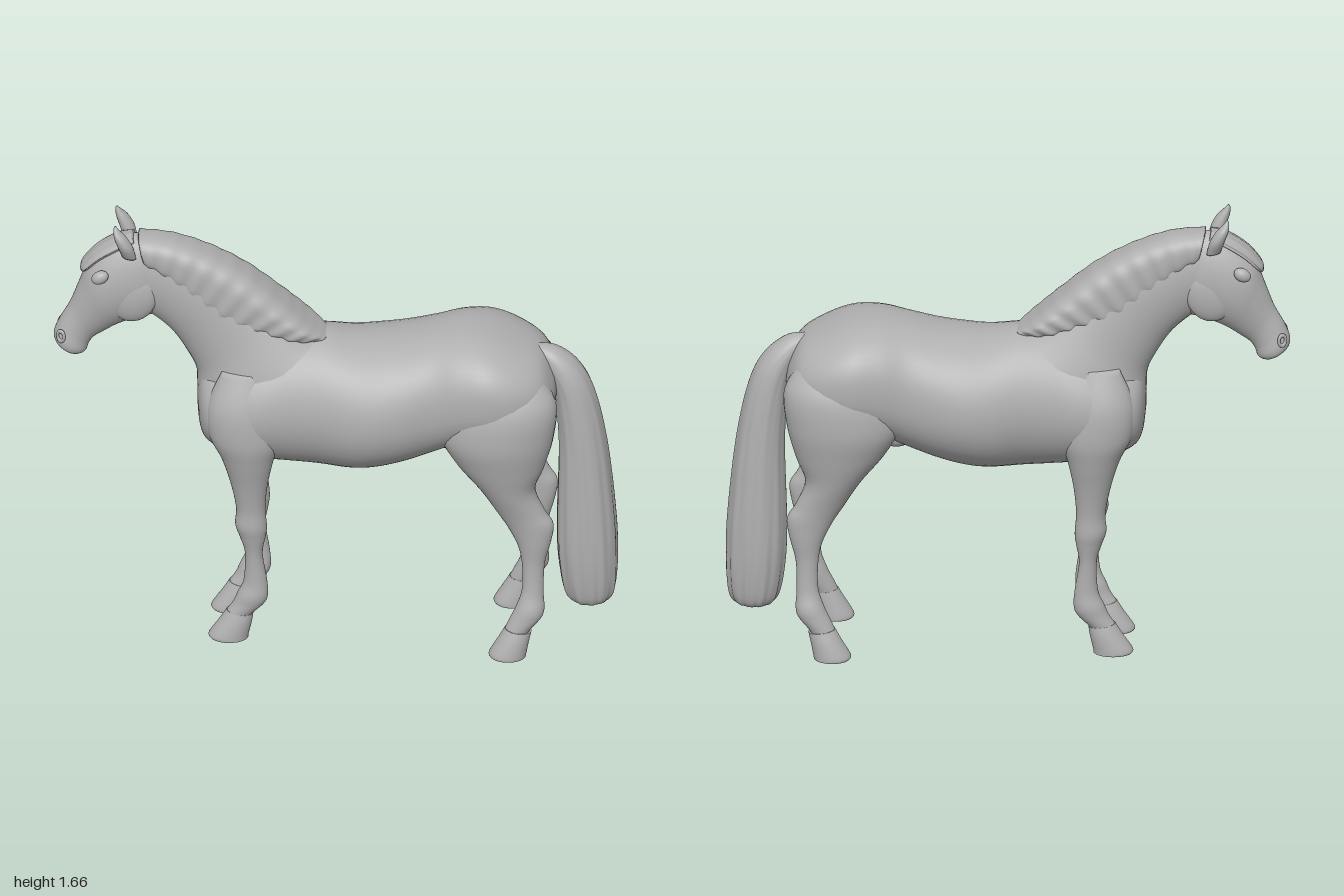
import * as THREE from 'three';

const coat = new THREE.MeshStandardMaterial({ color: 0xb0b0b0 });
coat.name = 'grey coat';

// Uniform Catmull-Rom blend of whole section rows
function sampleRows(rows, u) {
  const last = rows.length - 1;
  const i = Math.min(Math.floor(u * last), last - 1);
  const t = u * last - i;
  const at = (k) => rows[Math.max(0, Math.min(last, k))];
  const [a, b, c, d] = [at(i - 1), at(i), at(i + 1), at(i + 2)];
  return b.map((v, k) => v + 0.5 * t * (c[k] - a[k]
    + t * (2 * a[k] - 5 * v + 4 * c[k] - d[k] + t * (3 * (v - c[k]) + d[k] - a[k]))));
}

// Skin through rows of [x1, y1, x2, y2, halfWidth, z = 0, squareness = 2]:
// each section spans its two profile points and bulges sideways by halfWidth.
function loft(name, rows, { steps = 6, side = 1, sharpEnds = false, ripple = null, sides = 36 } = {}) {
  const full = rows.map(([a, b, c, d, w, z = 0, n = 2]) => [a, b, c, d, w, z * side, n]);
  const count = (rows.length - 1) * steps;
  const pos = [], index = [];
  for (let i = 0; i <= count; i++) {
    const u = i / count;
    const [x1, y1, x2, y2, w, z, n] = sampleRows(full, u);
    for (let j = 0; j < sides; j++) {
      const t = (j / sides) * Math.PI * 2;
      const bend = (v) => Math.sign(v) * Math.pow(Math.abs(v), 2 / n);
      const k = ripple ? 1 + ripple(u, t) : 1;
      const f = bend(Math.cos(t)) * k * 0.5;
      pos.push((x1 + x2) / 2 + f * (x1 - x2), (y1 + y2) / 2 + f * (y1 - y2), z + bend(Math.sin(t)) * w * k);
    }
  }
  for (let i = 0; i < count; i++) {
    for (let j = 0; j < sides; j++) {
      const a = i * sides + j, b = i * sides + (j + 1) % sides;
      index.push(a, b, a + sides, b, b + sides, a + sides);
    }
  }
  // End caps
  for (const end of [0, count]) {
    let start = end * sides;
    if (sharpEnds) {
      const ring = pos.slice(start * 3, (start + sides) * 3);
      start = pos.length / 3;
      pos.push(...ring);
    }
    const centre = [0, 0, 0];
    for (let j = 0; j < sides * 3; j++) centre[j % 3] += pos[start * 3 + j] / sides;
    const c = pos.length / 3;
    pos.push(...centre);
    for (let j = 0; j < sides; j++) {
      const a = start + j, b = start + (j + 1) % sides;
      if (end === 0) index.push(c, b, a); else index.push(c, a, b);
    }
  }
  // Turn the skin outward if its enclosed volume is negative
  const p = (i) => new THREE.Vector3(pos[i * 3], pos[i * 3 + 1], pos[i * 3 + 2]);
  let volume = 0;
  for (let i = 0; i < index.length; i += 3) volume += p(index[i]).dot(p(index[i + 1]).cross(p(index[i + 2])));
  if (volume < 0) index.reverse();
  const geometry = new THREE.BufferGeometry();
  geometry.setAttribute('position', new THREE.Float32BufferAttribute(pos, 3));
  geometry.setIndex(index);
  geometry.computeVertexNormals();
  const mesh = new THREE.Mesh(geometry, coat);
  mesh.name = name;
  return mesh;
}

function ball(name, x, y, z, sx, sy, sz, tilt = 0) {
  const mesh = new THREE.Mesh(new THREE.SphereGeometry(1, 24, 16), coat);
  mesh.name = name;
  mesh.position.set(x, y, z);
  mesh.scale.set(sx, sy, sz);
  mesh.rotation.z = tilt;
  return mesh;
}

export function createModel() {
  const horse = new THREE.Group();
  horse.name = 'horse';

  // Barrel, chest and rump
  horse.add(loft('torso', [
    [-0.49, 0.97, -0.49, 0.91, 0.03], [-0.475, 1.04, -0.478, 0.82, 0.11],
    [-0.44, 1.08, -0.45, 0.77, 0.16], [-0.38, 1.11, -0.38, 0.735, 0.195],
    [-0.28, 1.16, -0.28, 0.71, 0.213], [-0.17, 1.2, -0.17, 0.698, 0.213],
    [-0.06, 1.212, -0.06, 0.692, 0.226], [0.06, 1.195, 0.06, 0.69, 0.255, 0, 2.1],
    [0.15, 1.2, 0.15, 0.7, 0.265, 0, 2.1], [0.25, 1.212, 0.25, 0.73, 0.257, 0, 2.2],
    [0.35, 1.235, 0.35, 0.77, 0.243, 0, 2.3], [0.45, 1.25, 0.45, 0.82, 0.26, 0, 2.4],
    [0.55, 1.24, 0.55, 0.85, 0.272, 0, 2.5], [0.65, 1.205, 0.65, 0.87, 0.25, 0, 2.4],
    [0.73, 1.16, 0.73, 0.89, 0.2, 0, 2.2], [0.77, 1.09, 0.77, 0.94, 0.13], [0.783, 1.03, 0.783, 0.99, 0.04],
  ], { sides: 48 }));

  // Neck from withers to poll
  horse.add(loft('neck', [
    [0.03, 1.18, -0.42, 0.8, 0.19], [-0.06, 1.215, -0.485, 0.95, 0.165],
    [-0.18, 1.32, -0.495, 1.05, 0.13], [-0.31, 1.43, -0.53, 1.125, 0.108],
    [-0.445, 1.515, -0.575, 1.195, 0.096], [-0.58, 1.565, -0.62, 1.24, 0.084],
    [-0.7, 1.58, -0.655, 1.268, 0.078],
  ]));

  // Head from poll to lips
  horse.add(loft('head', [
    [-0.66, 1.58, -0.6, 1.34, 0.055], [-0.735, 1.58, -0.63, 1.275, 0.085],
    [-0.82, 1.535, -0.69, 1.255, 0.093], [-0.875, 1.475, -0.765, 1.225, 0.088],
    [-0.908, 1.39, -0.82, 1.19, 0.07], [-0.942, 1.3, -0.855, 1.165, 0.056],
    [-0.977, 1.235, -0.873, 1.14, 0.055], [-0.998, 1.18, -0.885, 1.108, 0.06],
    [-0.992, 1.145, -0.91, 1.098, 0.05], [-0.965, 1.125, -0.935, 1.105, 0.02],
  ]));

  // Mane with hanging locks, and forelock
  horse.add(loft('mane', [
    [-0.03, 1.205, -0.07, 1.19, 0.06, 0, 3], [-0.09, 1.255, -0.15, 1.2, 0.105, 0, 3],
    [-0.18, 1.337, -0.28, 1.225, 0.113, 0, 3], [-0.31, 1.445, -0.4, 1.25, 0.109, 0, 3],
    [-0.445, 1.523, -0.5, 1.33, 0.097, 0, 3], [-0.58, 1.573, -0.585, 1.41, 0.086, 0, 2.7],
    [-0.7, 1.588, -0.67, 1.47, 0.076, 0, 2.4],
  ], { steps: 16, ripple: (u, t) => 0.025 * Math.sin(u * 75 + 3 * Math.cos(t)) * (1 - 0.7 * Math.cos(t)) }));
  horse.add(loft('forelock', [
    [-0.72, 1.592, -0.71, 1.55, 0.04], [-0.78, 1.572, -0.765, 1.53, 0.055],
    [-0.85, 1.525, -0.83, 1.49, 0.055], [-0.9, 1.465, -0.875, 1.45, 0.045],
    [-0.905, 1.435, -0.89, 1.43, 0.015],
  ], { ripple: (u, t) => 0.06 * Math.sin(9 * t) }));

  // Tail with lengthwise strands
  horse.add(loft('tail', [
    [0.7, 1.172, 0.71, 1.12, 0.025], [0.78, 1.16, 0.745, 1.07, 0.055],
    [0.86, 1.095, 0.77, 1.0, 0.075], [0.915, 0.985, 0.78, 0.91, 0.084],
    [0.958, 0.78, 0.788, 0.745, 0.092], [0.988, 0.5, 0.782, 0.48, 0.102],
    [0.996, 0.32, 0.785, 0.32, 0.102], [0.99, 0.2, 0.803, 0.19, 0.09],
    [0.97, 0.145, 0.83, 0.14, 0.07], [0.93, 0.13, 0.87, 0.13, 0.03],
  ], { sides: 72, steps: 8, ripple: (u, t) => 0.03 * u * (Math.sin(11 * t + 5 * u) + 0.6 * Math.sin(19 * t - 7 * u)) }));

  horse.add(ball('sheath', 0.395, 0.785, 0, 0.06, 0.045, 0.045));

  for (const side of [1, -1]) {
    const tag = side > 0 ? 'near' : 'far';

    horse.add(loft(tag + 'FrontLeg', [
      [-0.4, 1.1, -0.24, 1.1, 0.03, 0.13], [-0.45, 0.97, -0.21, 0.97, 0.08, 0.13],
      [-0.445, 0.85, -0.19, 0.84, 0.088, 0.13], [-0.402, 0.755, -0.215, 0.745, 0.076, 0.125],
      [-0.37, 0.65, -0.236, 0.64, 0.058, 0.118], [-0.349, 0.54, -0.245, 0.54, 0.046, 0.113],
      [-0.352, 0.47, -0.24, 0.46, 0.049, 0.11], [-0.335, 0.415, -0.245, 0.415, 0.041, 0.109],
      [-0.318, 0.35, -0.255, 0.345, 0.033, 0.107], [-0.322, 0.24, -0.24, 0.24, 0.034, 0.105],
      [-0.345, 0.18, -0.236, 0.18, 0.043, 0.103], [-0.362, 0.14, -0.248, 0.145, 0.041, 0.102],
      [-0.388, 0.1, -0.29, 0.1, 0.038, 0.1], [-0.4, 0.07, -0.3, 0.07, 0.036, 0.1],
    ], { side }));
    horse.add(loft(tag + 'FrontHoof', [
      [-0.383, 0.112, -0.288, 0.1, 0.039, 0.1], [-0.408, 0.07, -0.293, 0.065, 0.047, 0.1],
      [-0.445, 0.015, -0.305, 0.012, 0.053, 0.1], [-0.443, 0, -0.306, 0, 0.052, 0.1],
    ], { side, sharpEnds: true, steps: 4 }));

    horse.add(loft(tag + 'HindLeg', [
      [0.47, 1.17, 0.7, 1.15, 0.05, 0.13], [0.4, 1.02, 0.783, 1.03, 0.11, 0.153],
      [0.375, 0.89, 0.778, 0.89, 0.124, 0.155], [0.425, 0.785, 0.745, 0.765, 0.104, 0.155],
      [0.515, 0.67, 0.712, 0.67, 0.078, 0.155], [0.575, 0.575, 0.745, 0.58, 0.055, 0.155],
      [0.615, 0.51, 0.776, 0.525, 0.047, 0.155], [0.65, 0.435, 0.768, 0.455, 0.042, 0.155],
      [0.665, 0.36, 0.745, 0.36, 0.033, 0.158], [0.665, 0.26, 0.742, 0.25, 0.032, 0.166],
      [0.643, 0.19, 0.745, 0.19, 0.043, 0.173], [0.622, 0.145, 0.735, 0.155, 0.042, 0.177],
      [0.602, 0.1, 0.695, 0.105, 0.038, 0.182], [0.59, 0.07, 0.685, 0.07, 0.036, 0.185],
    ], { side }));
    horse.add(loft(tag + 'HindHoof', [
      [0.605, 0.112, 0.7, 0.1, 0.04, 0.182], [0.582, 0.07, 0.692, 0.065, 0.048, 0.185],
      [0.55, 0.015, 0.682, 0.012, 0.056, 0.187], [0.552, 0, 0.68, 0, 0.055, 0.187],
    ], { side, sharpEnds: true, steps: 4 }));

    // Ears, eyes, cheeks and nostrils
    horse.add(loft(tag + 'Ear', [
      [-0.755, 1.53, -0.705, 1.52, 0.02, 0.065], [-0.77, 1.575, -0.715, 1.57, 0.03, 0.076],
      [-0.783, 1.615, -0.737, 1.61, 0.026, 0.079], [-0.785, 1.643, -0.76, 1.635, 0.013, 0.075],
      [-0.78, 1.656, -0.777, 1.655, 0.002, 0.071],
    ], { side, sides: 20 }));
    horse.add(ball(tag + 'Eye', -0.832, 1.452, side * 0.088, 0.032, 0.024, 0.022, 0.5));
    horse.add(ball(tag + 'Cheek', -0.715, 1.36, side * 0.06, 0.085, 0.1, 0.034, -0.3));
    const nostril = new THREE.Mesh(new THREE.TorusGeometry(0.015, 0.006, 10, 20), coat);
    nostril.name = tag + 'Nostril';
    nostril.position.set(-0.972, 1.185, side * 0.05);
    nostril.rotation.y = -side * 0.5;
    nostril.scale.set(0.9, 1.3, 1);
    horse.add(nostril);
  }
  return horse;
}
